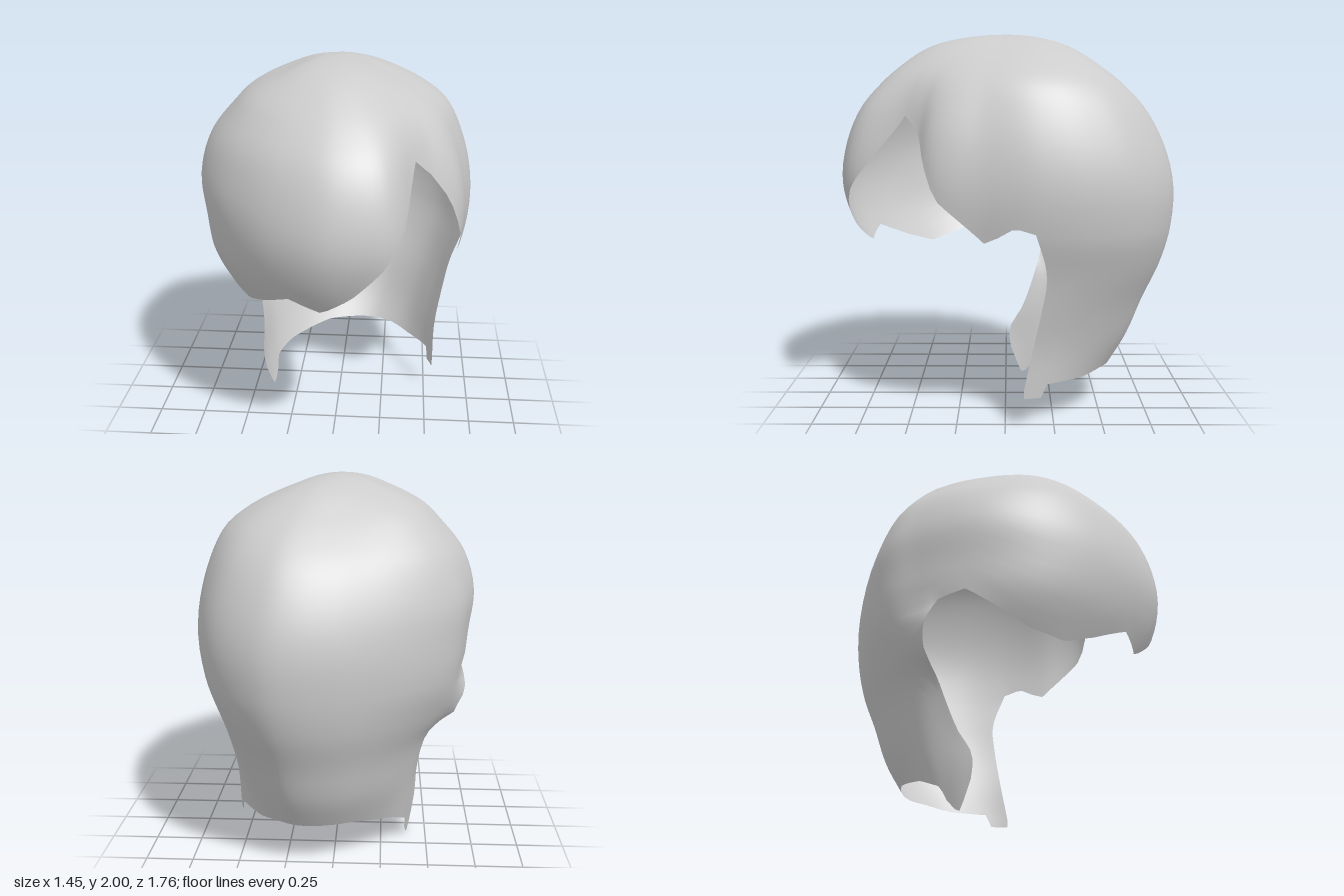
import * as THREE from 'three';

// Smooth curve through [x, y] points (Hermite with averaged slopes); linear if flat is true
function curve(pts, x, flat = false) {
  const n = pts.length - 1;
  if (x <= pts[0][0]) return pts[0][1];
  if (x >= pts[n][0]) return pts[n][1];
  let i = 0;
  while (x > pts[i + 1][0]) i++;
  const h = pts[i + 1][0] - pts[i][0], t = (x - pts[i][0]) / h;
  const [a, b] = [pts[i][1], pts[i + 1][1]];
  if (flat) return a + (b - a) * t;
  const slope = (k) => {
    const p = pts[Math.max(k - 1, 0)], q = pts[Math.min(k + 1, n)];
    return (q[1] - p[1]) / (q[0] - p[0]);
  };
  const t2 = t * t, t3 = t2 * t;
  return a * (2 * t3 - 3 * t2 + 1) + b * (3 * t2 - 2 * t3)
    + h * (slope(i) * (t3 - 2 * t2 + t) + slope(i + 1) * (t3 - t2));
}

// Widest outline seen from above: [degrees from the front towards +x, radius]
const outline = [
  [-17.5, .829], [-3.3, .871], [3, .88], [18.6, .872], [24.4, .835], [32.4, .745], [38.7, .7], [49, .685],
  [55.4, .715], [62, .725], [81.6, .69], [104, .742], [123.5, .815], [141, .896], [159, .93], [166, .912],
  [180, .85], [194.6, .796], [211, .772], [236, .771], [250, .743], [272, .73], [295.5, .742], [323, .778],
  [342.5, .829], [356.7, .871], [363, .88]];
// The same outline without the dent at the parting, used towards the crown
const crownOutline = outline.filter(([a]) => a < 20 || a > 60);

// Share of the outline reached at depth u = sqrt(2 - y), for each direction
const depths = [0, .22, .39, .5, .63, .775, .894, 1, 1.095, 1.18, 1.265, 1.342, 1.414];
const profile = (values) => values.map((v, i) => [depths[i], v]);
const front = profile([0, .41, .62, .75, .89, .98, 1, .93, .8, .74, .7, .65, .6]);
const back = profile([0, .33, .52, .66, .82, .94, .99, .98, .93, .84, .75, .61, .48]);
const left = profile([0, .31, .62, .79, .9, .98, 1, .96, .88, .83, .78, .77, .76]);
const right = profile([0, .28, .61, .76, .92, 1, .97, .93, .79, .68, .62, .6, .56]);

// Lower edge of the cap: fringe, parting notch and ear cut-outs
const capEdge = [
  [0, .9], [8, .98], [17.6, 1.13], [27, 1.32], [32.4, 1.45], [39, 1.58], [49, 1.49], [55, 1.37],
  [62, 1.18], [81, .97], [87, 1.0], [94, 1.05], [102, 1.02], [110, 1], [250, 1], [258, 1.0],
  [270, 1.03], [280, .96], [298, .85], [316, .81], [330, .86], [345, .94], [357, .88], [360, .9]];
// Lower edge of the nape, and how its two side edges sway with height
const napeEdge = [
  [102, .15], [111, .15], [114, .22], [135, .22], [150, .24], [190, .24], [220, .19], [238, .13],
  [243, .06], [249, .01], [252, 0], [255, .04], [258, .14]];
const leftSway = [[.2, -2], [.4, 2], [.6, 5], [.8, 6], [1.02, 0]];
const rightSway = [[.05, 5], [.25, 9], [.4, -1], [.6, -8], [.8, -10], [1, 0]];
// Outward flick of the lock behind the right ear
const earFlick = [[.66, 0], [.76, .09], [.88, .09], [1, 0]];

function surfacePoint(deg, y) {
  const u = Math.sqrt(Math.max(0, 2 - y)), a = deg * Math.PI / 180;
  const c = Math.cos(a), s = Math.sin(a);
  const dent = THREE.MathUtils.smoothstep(u, .35, .75);
  // Between the main directions the crown is fuller on the right and flatter by the parting,
  // and the neck is narrower at its back corners
  const crownFill = s < 0 ? .07 : c < 0 ? .04 : -.05;
  const neckFill = c > 0 ? 0 : s > 0 ? -.08 : -.03;
  const neck = THREE.MathUtils.smoothstep(u, 1, 1.3);
  const corner = 1 + Math.sin(2 * a) ** 2 * (crownFill * (1 - dent) + neckFill * neck);
  const reach = curve(c > 0 ? front : back, u) * c * c + curve(s > 0 ? left : right, u) * s * s;
  const r = corner * reach * THREE.MathUtils.lerp(curve(crownOutline, deg), curve(outline, deg), dent);
  return [r * s - .03 * Math.max(0, 1 - u / .5), y, r * c];
}

function buildHair() {
  const columns = 120, rows = 28, napeRows = 18, first = 34, last = 86;
  const position = [], index = [];
  const quad = (tl, bl, br, tr) => index.push(tl, bl, br, tl, br, tr);

  // Cap: rings from the crown down to its edge
  position.push(-.03, 2, 0);
  const cap = (i, j) => i === 0 ? 0 : 1 + (i - 1) * columns + j % columns;
  for (let i = 1; i <= rows; i++) {
    for (let j = 0; j < columns; j++) {
      const deg = j * 3, u = Math.sqrt(2 - curve(capEdge, deg, true)) * i / rows;
      position.push(...surfacePoint(deg, 2 - u * u));
    }
  }
  for (let j = 0; j < columns; j++) {
    index.push(0, cap(1, j), cap(1, j + 1));
    for (let i = 1; i < rows; i++) quad(cap(i, j), cap(i + 1, j), cap(i + 1, j + 1), cap(i, j + 1));
  }

  // Nape: continues the back of the cap down the neck
  const base = position.length / 3, span = last - first;
  const nape = (i, j) => i === 0 ? cap(rows, j) : base + (i - 1) * (span + 1) + j - first;
  for (let i = 1; i <= napeRows; i++) {
    for (let j = first; j <= last; j++) {
      const deg = j * 3, k = (j - first) / span;
      const y = THREE.MathUtils.lerp(curve(capEdge, deg, true), curve(napeEdge, deg, true), i / napeRows);
      const sway = curve(leftSway, y) * (1 - k) ** 4 + curve(rightSway, y) * k ** 4;
      const [px, py, pz] = surfacePoint(deg + sway, y);
      position.push(px - curve(earFlick, y, true) * k ** 10, py, pz);
    }
  }
  for (let i = 0; i < napeRows; i++) {
    for (let j = first; j < last; j++) quad(nape(i, j), nape(i + 1, j), nape(i + 1, j + 1), nape(i, j + 1));
  }

  const geometry = new THREE.BufferGeometry();
  geometry.setAttribute('position', new THREE.Float32BufferAttribute(position, 3));
  geometry.setIndex(index);
  geometry.computeVertexNormals();
  return geometry;
}

export function createModel() {
  const grey = new THREE.MeshStandardMaterial({ color: 0xcccccc, side: THREE.DoubleSide });
  grey.name = 'light grey';
  const hair = new THREE.Mesh(buildHair(), grey);
  hair.name = 'hair';
  const model = new THREE.Group();
  model.name = 'hairpiece';
  model.add(hair);
  return model;
}
